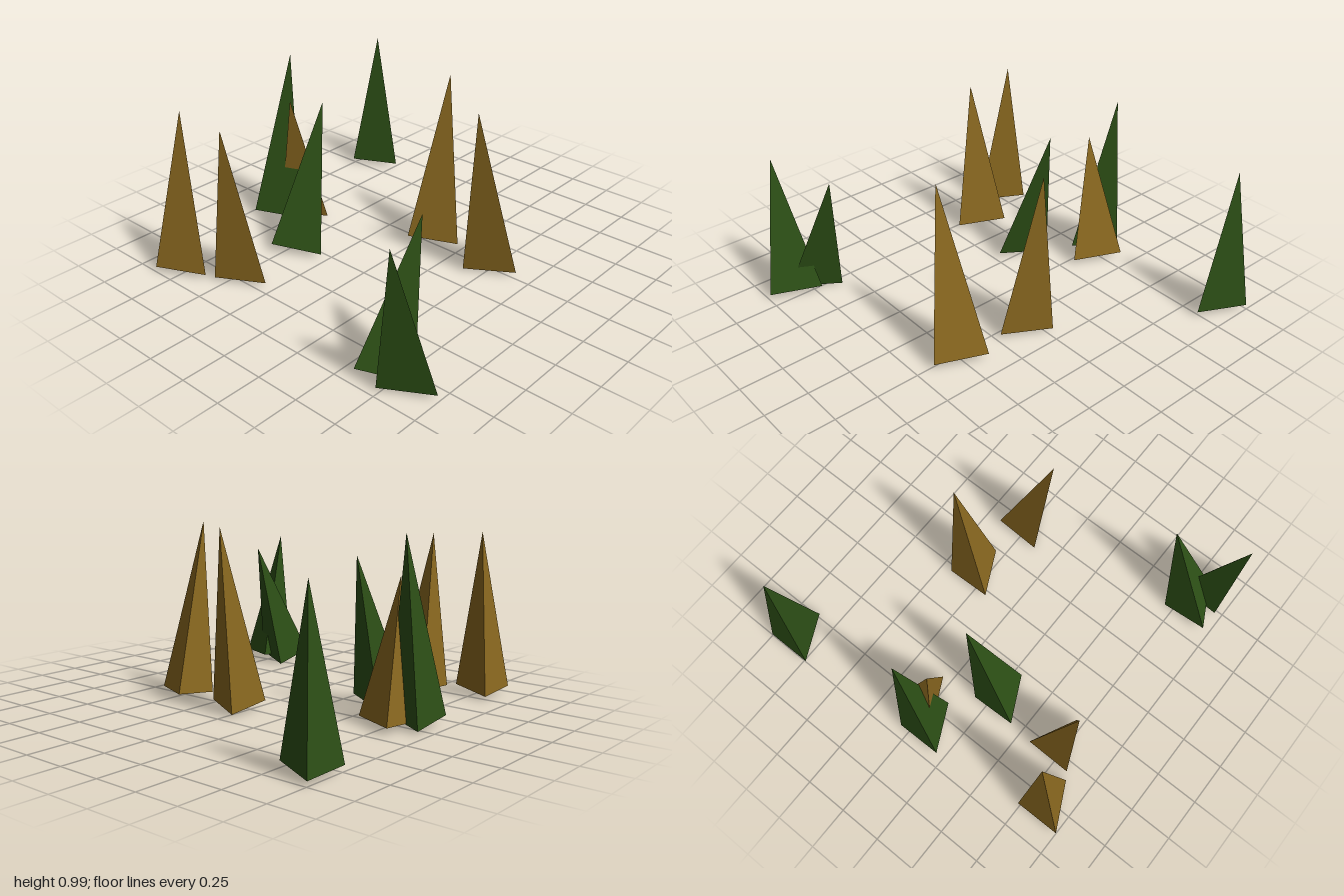
import * as THREE from 'three';

const HALF_WIDTH = 0.132; // half the back edge of a spike's base
const RADIUS = 0.176; // base centre to front corner
const BASE_Y = 0.033;

// Three-sided spike whose tip leans sideways and whose base tilts with it
function spikeGeometry(height, lean) {
  const geo = new THREE.ConeGeometry(RADIUS, height, 3).toNonIndexed();
  geo.translate(0, height / 2, 0);
  geo.scale(HALF_WIDTH / (RADIUS * Math.sin(Math.PI / 3)), 1, 1);
  const pos = geo.attributes.position;
  for (let i = 0; i < pos.count; i++) {
    const x = pos.getX(i), y = pos.getY(i);
    pos.setXY(i, x + lean * y / height, y - 0.83 * lean * x);
  }
  geo.computeVertexNormals();
  return geo;
}

export function createModel() {
  const green = new THREE.MeshStandardMaterial({ name: 'leafGreen', color: 0x2d5016, flatShading: true });
  const brown = new THREE.MeshStandardMaterial({ name: 'dryBrown', color: 0x8b6920, flatShading: true });

  // base centre x, base centre z, tip x, tip y
  const greenSpikes = [
    [-0.075, -0.85, 0.06, 0.995],
    [-0.30, -0.46, -0.073, 0.845],
    [0.864, -0.912, 0.885, 0.868],
    [-0.828, 0.68, -0.577, 0.76],
    [-0.826, 0.815, -0.957, 0.80],
  ];
  const brownSpikes = [
    [-0.868, -0.78, -0.803, 0.935],
    [-0.708, -0.473, -0.793, 0.91],
    [0.048, -0.75, -0.052, 0.765],
    [0.30, 0.05, 0.418, 0.995],
    [0.267, 0.48, 0.103, 0.985],
  ];

  const group = new THREE.Group();
  group.name = 'grassSpikes';
  const addSpikes = (spikes, material, name) => spikes.forEach(([x, z, tipX, tipY], i) => {
    const mesh = new THREE.Mesh(spikeGeometry(tipY - BASE_Y, tipX - x), material);
    mesh.name = name + (i + 1);
    mesh.position.set(x, BASE_Y, z);
    group.add(mesh);
  });
  addSpikes(greenSpikes, green, 'greenBlade');
  addSpikes(brownSpikes, brown, 'brownBlade');
  return group;
}
